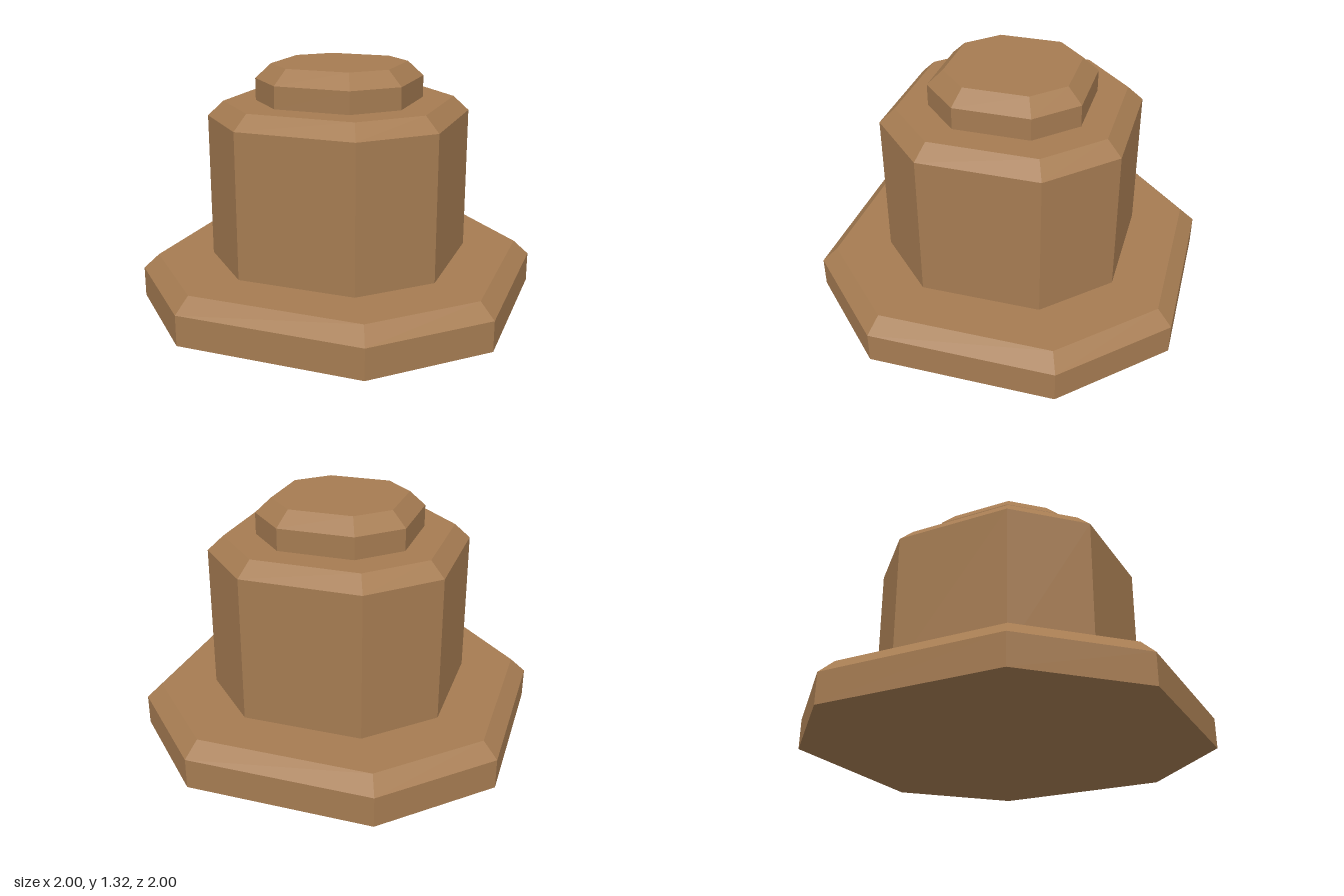
import * as THREE from 'three';

const BEVEL = 0.08;

// Square of half-width r with corners cut at 45 degrees, moved inwards by inset
function octagon(r, inset, y) {
  const a = r - inset;
  const b = r / 2 - inset * Math.tan(Math.PI / 8);
  return [[a, b], [b, a], [-b, a], [-a, b], [-a, -b], [-b, -a], [b, -a], [a, -b]]
    .map(([x, z]) => [x, y, z]);
}

// Closed eight-sided block with a chamfered top edge
function chamferedBlock(r, bottom, top) {
  const rings = [octagon(r, 0, bottom), octagon(r, 0, top - BEVEL), octagon(r, BEVEL, top)];
  const positions = [];
  const tri = (...corners) => corners.forEach((c) => positions.push(...c));

  for (let i = 0; i < 8; i++) {
    const j = (i + 1) % 8;
    // Wall and chamfer
    for (let k = 0; k < 2; k++) {
      const low = rings[k], high = rings[k + 1];
      tri(low[j], low[i], high[i]);
      tri(low[j], high[i], high[j]);
    }
    // Top and underside
    tri([0, top, 0], rings[2][j], rings[2][i]);
    tri([0, bottom, 0], rings[0][i], rings[0][j]);
  }

  const geometry = new THREE.BufferGeometry();
  geometry.setAttribute('position', new THREE.Float32BufferAttribute(positions, 3));
  geometry.computeVertexNormals();
  return geometry;
}

export function createModel() {
  const group = new THREE.Group();
  group.name = 'steppedPedestal';

  const brown = new THREE.MeshStandardMaterial({ color: 0xa67c52, flatShading: true });
  brown.name = 'brown';

  // Three stacked tiers: name, half-width, bottom, top
  const tiers = [
    ['base', 1, 0, 0.246],
    ['body', 0.648, 0.246, 1.12],
    ['cap', 0.414, 1.12, 1.32],
  ];
  for (const [name, r, bottom, top] of tiers) {
    const mesh = new THREE.Mesh(chamferedBlock(r, bottom, top), brown);
    mesh.name = name;
    group.add(mesh);
  }
  return group;
}
